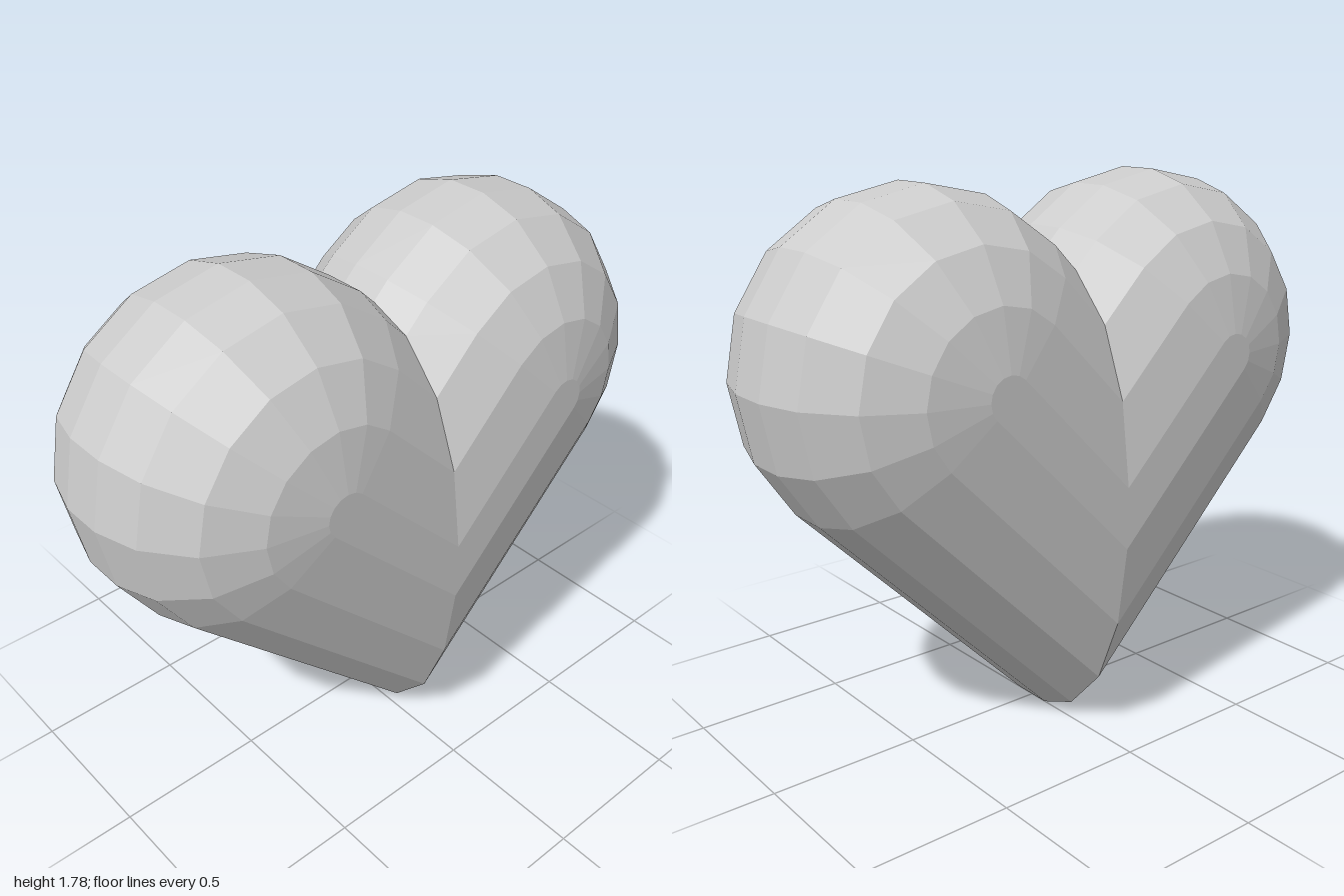
import * as THREE from 'three';

// Half cross-section of a lobe: [x, radius], from the flat side to the middle
const HALF = [[-0.465, 0], [-0.465, 0.07], [-0.43, 0.255], [-0.345, 0.41], [-0.21, 0.515], [-0.07, 0.555]];
const SECTION = [...HALF, ...HALF.map(([x, r]) => [-x, r]).reverse()];
const CENTRE_Y = 1.23, CENTRE_Z = 0.445, ARC_STEPS = 8;

// Path of one section point: up the slanted side, round the top, down to the notch
function lobePath(x, r) {
  const middle = CENTRE_Y - CENTRE_Z;
  const path = [[x, middle - r * Math.SQRT2, 0]];
  for (let k = 0; k <= ARC_STEPS; k++) {
    const a = -Math.PI / 4 + (k / ARC_STEPS) * Math.PI;
    path.push([x, CENTRE_Y + r * Math.sin(a), CENTRE_Z + r * Math.cos(a)]);
  }
  path.push([x, middle + r * Math.SQRT2, 0]);
  return path;
}

// Slanted half capsule that ends on the plane z = 0
function lobeGeometry() {
  const paths = SECTION.map(([x, r]) => lobePath(x, r));
  const n = paths[0].length;
  const index = [];
  for (let i = 0; i < paths.length - 1; i++) {
    for (let j = 0; j < n - 1; j++) {
      const a = i * n + j, b = a + n;
      // the arc shrinks to a point at the centre of each flat side
      const arc = j > 0 && j < n - 2;
      if (!(arc && i === paths.length - 2)) index.push(a, b, b + 1);
      if (!(arc && i === 0)) index.push(a, b + 1, a + 1);
    }
  }
  const geometry = new THREE.BufferGeometry();
  geometry.setAttribute('position', new THREE.Float32BufferAttribute(paths.flat(2), 3));
  geometry.setIndex(index);
  const flat = geometry.toNonIndexed();
  flat.computeVertexNormals();
  return flat;
}

export function createModel() {
  const heart = new THREE.Group();
  heart.name = 'heart';
  const material = new THREE.MeshStandardMaterial({ color: 0xcccccc, flatShading: true });
  const geometry = lobeGeometry();

  // Two equal lobes, turned back to back
  ['frontLobe', 'backLobe'].forEach((name, i) => {
    const lobe = new THREE.Mesh(geometry, material);
    lobe.name = name;
    lobe.rotation.y = i * Math.PI;
    heart.add(lobe);
  });
  return heart;
}
